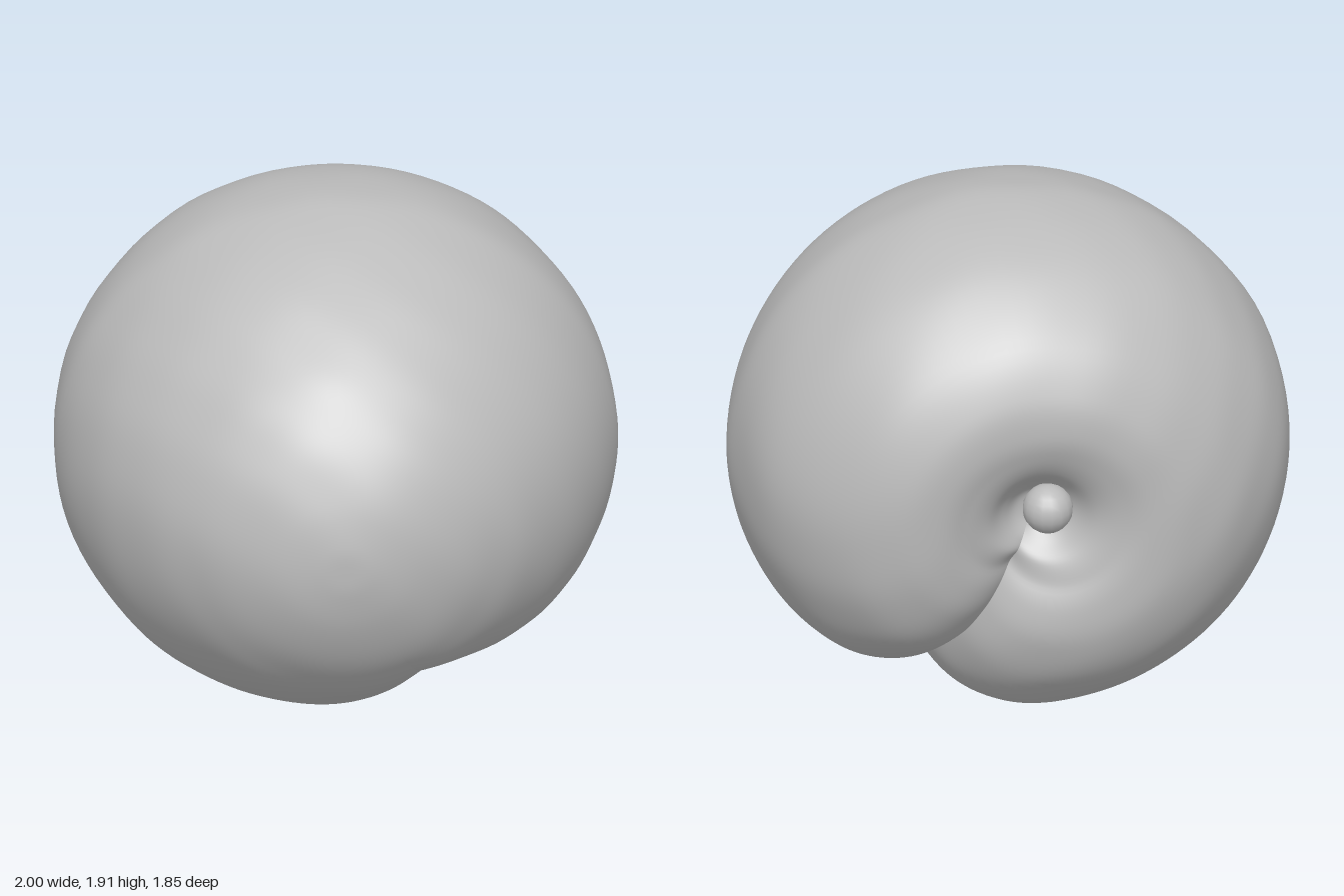
import * as THREE from 'three';

const GROOVE_ANGLE = -1.13; // direction of the crease around the fruit's axis
const CENTRE_Y = 0.96;

// Half outline as (radius, z), from the stem hollow at the back to the front tip
const outline = new THREE.SplineCurve([
  [0, -0.70], [0.07, -0.71], [0.13, -0.77], [0.2, -0.85], [0.29, -0.9], [0.4, -0.922],
  [0.54, -0.9], [0.72, -0.8], [0.89, -0.6], [0.97, -0.4], [1.0, -0.17], [0.98, 0], [0.92, 0.2],
  [0.82, 0.4], [0.67, 0.6], [0.54, 0.72], [0.41, 0.81], [0.25, 0.88], [0.1, 0.915], [0, 0.92],
].map(([r, z]) => new THREE.Vector2(r, z)));

function fruitGeometry(rows = 110, cols = 160) {
  const positions = [];
  const index = [];
  for (let i = 0; i <= rows; i++) {
    const { x: r, y: z } = outline.getPoint(i / rows);
    // Crease runs from the hollow and fades out before the tip
    const fade = THREE.MathUtils.smoothstep(r + (z > 0 ? 1 : 0), 0.06, 0.3)
      * (1 - THREE.MathUtils.smoothstep(z, 0.15, 0.78));
    const width = 0.19 / Math.max(r, 0.3);
    for (let j = 0; j < cols; j++) {
      // Columns are packed closely around the crease
      const u = (2 * j) / cols - 1;
      const d = Math.PI * Math.sign(u) * Math.abs(u) ** 1.8;
      const a = GROOVE_ANGLE + d;
      const x0 = Math.cos(a) * r;
      const y0 = Math.sin(a) * r;
      const bumps = 0.003 * Math.sin(7 * x0 + 3 * z) * Math.sin(6 * y0 - 5 * z + 1)
        + 0.0015 * Math.sin(17 * x0 + 9 * y0) * Math.sin(15 * z - 8 * y0);
      const k = 1 - 0.19 * fade * Math.exp(-Math.abs(d) / width) + bumps;
      positions.push(x0 * k, y0 * k * 0.965, z * k);
    }
  }
  for (let i = 0; i < rows; i++) {
    for (let j = 0; j < cols; j++) {
      const n = (j + 1) % cols;
      const a = i * cols + j, b = i * cols + n;
      const c = a + cols, e = b + cols;
      index.push(a, b, c, b, e, c);
    }
  }
  const geometry = new THREE.BufferGeometry();
  geometry.setAttribute('position', new THREE.Float32BufferAttribute(positions, 3));
  geometry.setIndex(index);
  geometry.computeVertexNormals();
  return geometry;
}

export function createModel() {
  const grey = new THREE.MeshStandardMaterial({ color: 0xbcbcbc });
  grey.name = 'grey';
  const model = new THREE.Group();
  model.name = 'fruit';

  // Creased round body
  const body = new THREE.Mesh(fruitGeometry(), grey);
  body.name = 'body';
  body.position.y = CENTRE_Y;
  model.add(body);

  // Stubby stem sitting in the hollow
  const stem = new THREE.Mesh(new THREE.SphereGeometry(0.09, 16, 12), grey);
  stem.name = 'stem';
  stem.position.set(-0.03, CENTRE_Y + 0.03, -0.79);
  model.add(stem);

  return model;
}
